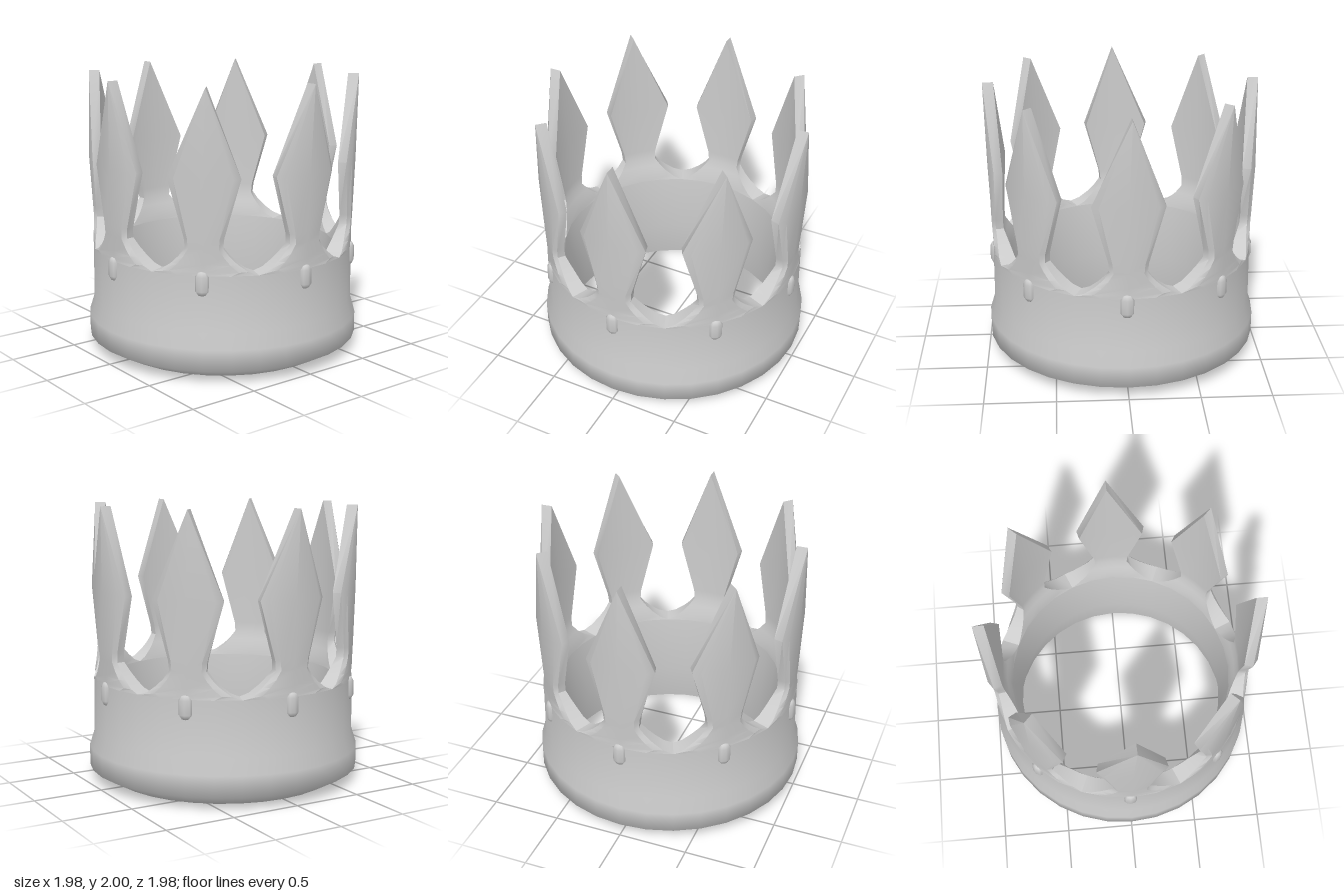
import * as THREE from 'three';
import { toCreasedNormals } from 'three/addons/utils/BufferGeometryUtils.js';

const DEG = Math.PI / 180;
const COUNT = 8;

// Spike cross-sections: height, half angle (deg), inner radius, outer radius, bevel, twist (deg)
const SPIKE_ROWS = [
  [0.745, 22.5, 0.82, 0.95, 0, 0],
  [0.77, 18.2, 0.825, 0.95, 0.01, 0],
  [0.82, 14.0, 0.835, 0.95, 0.02, 0],
  [0.87, 10.8, 0.85, 0.95, 0.025, 0],
  [0.93, 8.0, 0.87, 0.952, 0.025, 0],
  [1.0, 8.4, 0.875, 0.955, 0.025, 0],
  [1.4, 15.2, 0.88, 0.968, 0.025, 0],
  [2.0, 0, 0.9, 0.978, 0, 1.2],
];

// Curved blade: a closed loop of ten points per row, outer face first, then inner face
function spikeGeometry() {
  const pos = [];
  const index = [];
  SPIKE_ROWS.forEach(([y, half, rIn, rOut, bevel, twist], i) => {
    const k = i === 0 ? 0.5 : 0.78;
    const cols = [-1, -k, 0, k, 1];
    const add = (u, r) => {
      const a = (u * half + twist) * DEG;
      pos.push(Math.sin(a) * r, y, Math.cos(a) * r);
    };
    cols.forEach((u) => add(u, rOut - (Math.abs(u) === 1 ? bevel : 0)));
    cols.forEach((u) => add(-u, rIn));
  });
  const n = 10;
  for (let i = 0; i < SPIKE_ROWS.length - 1; i++) {
    for (let j = 0; j < n; j++) {
      const a = i * n + j;
      const b = i * n + ((j + 1) % n);
      index.push(a, b, b + n, a, b + n, a + n);
    }
  }
  const geo = new THREE.BufferGeometry();
  geo.setAttribute('position', new THREE.Float32BufferAttribute(pos, 3));
  geo.setIndex(index);
  return toCreasedNormals(geo, 40 * DEG);
}

function lathe(points, segments) {
  return new THREE.LatheGeometry(points.map(([r, y]) => new THREE.Vector2(r, y)), segments);
}

export function createModel() {
  const crown = new THREE.Group();
  crown.name = 'crown';
  const metal = new THREE.MeshStandardMaterial({ color: 0xcccccc });

  // Ring: inner wall down, bottom lip, flared base, straight outer wall
  const bandGeo = toCreasedNormals(lathe([
    [0.82, 0.745], [0.78, 0.3], [0.825, 0], [0.99, 0.09],
    [0.99, 0.24], [0.955, 0.35], [0.95, 0.745],
  ], COUNT * 4), 65 * DEG);
  const band = new THREE.Mesh(bandGeo, metal);
  band.name = 'band';
  crown.add(band);

  // Elongated stud, flattened towards the wall
  const gemGeo = lathe([
    [0, -0.09], [0.03, -0.078], [0.05, -0.05],
    [0.05, 0.05], [0.03, 0.078], [0, 0.09],
  ], 8);
  gemGeo.scale(1, 1, 0.7);
  gemGeo.translate(-0.01, 0.69, 0.94);

  // Eight spikes, each with a stud at its foot
  const spikeGeo = spikeGeometry();
  for (let i = 0; i < COUNT; i++) {
    const sector = new THREE.Group();
    sector.name = `point${i + 1}`;
    sector.rotation.y = (i * 2 * Math.PI) / COUNT;
    const spike = new THREE.Mesh(spikeGeo, metal);
    spike.name = 'spike';
    const gem = new THREE.Mesh(gemGeo, metal);
    gem.name = 'stud';
    sector.add(spike, gem);
    crown.add(sector);
  }
  return crown;
}
